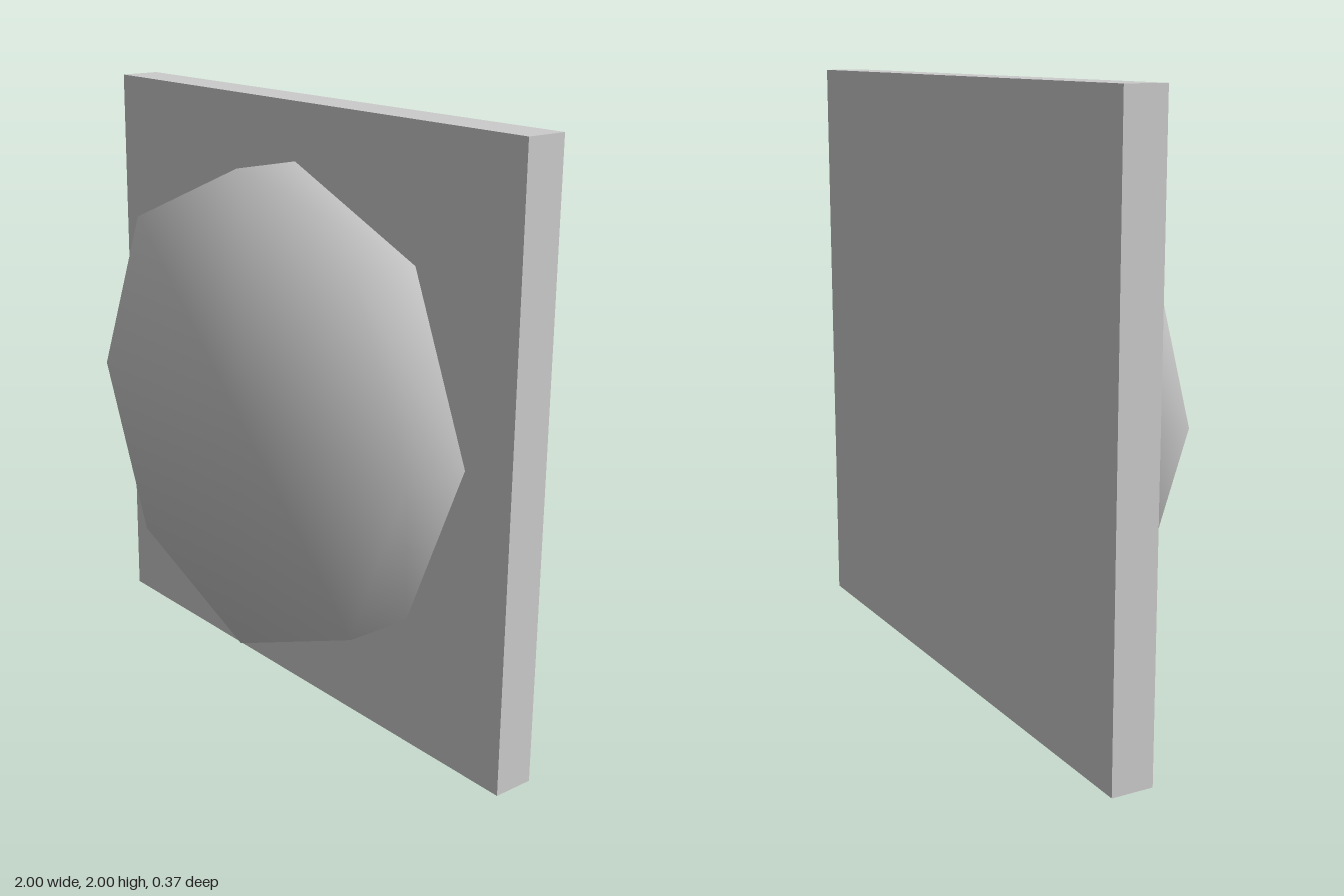
import * as THREE from 'three';

const material = new THREE.MeshStandardMaterial({ color: 0xcccccc });

// Octagonal prism along z whose normals are blended smoothly over its rims
function softPrism(radius, depth, sides) {
  const geometry = new THREE.CylinderGeometry(radius, radius, depth, sides);
  geometry.rotateX(Math.PI / 2);
  const { position, normal } = geometry.attributes;
  const n = new THREE.Vector3();
  for (let i = 0; i < position.count; i++) {
    n.set(position.getX(i) / radius, position.getY(i) / radius, Math.sign(position.getZ(i))).normalize();
    normal.setXYZ(i, n.x, n.y, n.z);
  }
  return geometry;
}

export function createModel() {
  const group = new THREE.Group();

  // Square plate at the back
  const plate = new THREE.Mesh(new THREE.BoxGeometry(2, 2, 0.14), material);
  plate.name = 'backPlate';
  plate.position.set(0, 1, -0.115);
  group.add(plate);

  // Eight-sided button standing out from the plate
  const button = new THREE.Mesh(softPrism(0.81, 0.23, 8), material);
  button.name = 'octagonalButton';
  button.position.set(0, 1, 0.07);
  group.add(button);

  return group;
}
